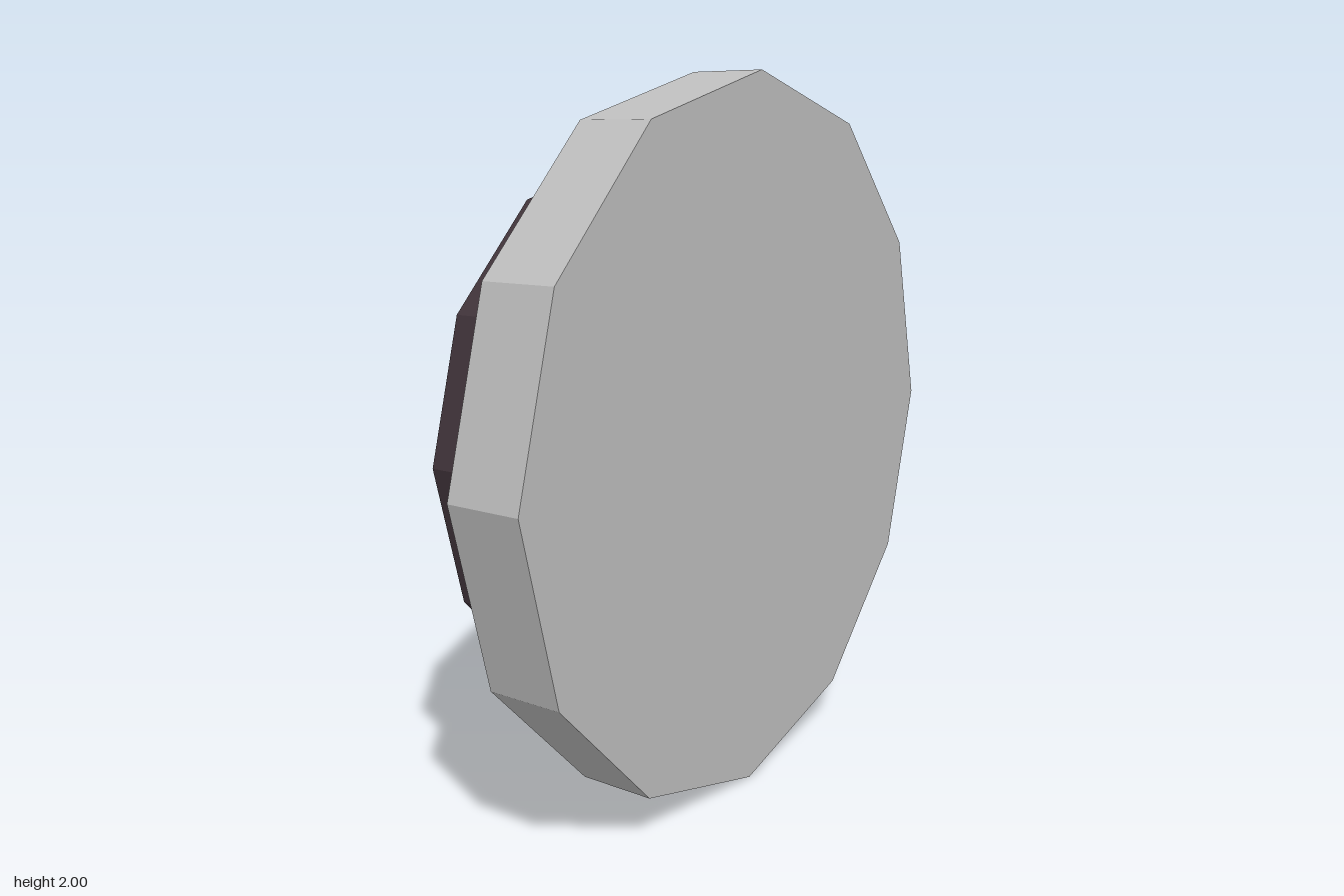
import * as THREE from 'three';

const CENTER_Y = 1;
const HUB = { half: 0.18, flat: 0.1, back: 0.075, front: 0.245 };
const RIM = { inner: 0.64, outer: 0.765, back: -0.07, front: 0.09 };

export function createModel() {
  const grey = new THREE.MeshStandardMaterial({ color: 0xbdbdbd });
  grey.name = 'pale grey';
  const dark = new THREE.MeshStandardMaterial({ color: 0x40333a });
  dark.name = 'dark plum';

  const model = new THREE.Group();
  model.name = 'handWheel';

  // Faceted mesh with one normal per face
  function add(name, geometry, material) {
    const flat = geometry.index ? geometry.toNonIndexed() : geometry;
    flat.computeVertexNormals();
    const mesh = new THREE.Mesh(flat, material);
    mesh.name = name;
    mesh.position.y = CENTER_Y;
    model.add(mesh);
    return mesh;
  }

  // Profile of [radius, z] pairs turned about the z axis
  function turned(profile, sides) {
    const points = profile.map(([r, z]) => new THREE.Vector2(r, z));
    return new THREE.LatheGeometry(points, sides).rotateX(Math.PI / 2);
  }

  // Large front disc with a shallow recess in its back
  add('frontDisc', turned([
    [0, 0.245], [0.86, 0.245], [0.86, 0.205], [1, 0.205], [1, 0.42], [0, 0.42],
  ], 12), grey);

  // Wheel rim
  add('wheelRim', turned([
    [RIM.inner, RIM.back], [RIM.outer, RIM.back], [RIM.outer, RIM.front],
    [RIM.inner, RIM.front], [RIM.inner, RIM.back],
  ], 12), dark);

  // Chamfered square hub with a square socket
  const { half: h, flat: f } = HUB;
  const hubShape = new THREE.Shape([
    [h, -f], [h, f], [f, h], [-f, h], [-h, f], [-h, -f], [-f, -h], [f, -h],
  ].map(([x, y]) => new THREE.Vector2(x, y)));
  const s = 0.065;
  hubShape.holes.push(new THREE.Path(
    [[-s, -s], [-s, s], [s, s], [s, -s]].map(([x, y]) => new THREE.Vector2(x, y))));
  const hub = new THREE.ExtrudeGeometry(hubShape, {
    depth: HUB.front - HUB.back, bevelEnabled: false,
  }).translate(0, 0, HUB.back);
  add('hub', hub, dark);

  // Four dished spokes that widen from a hub chamfer to a rim facet
  const start = (h + f) / Math.SQRT2;
  const end = RIM.inner * Math.cos(Math.PI / 12);
  const startWidth = (h - f) / Math.SQRT2;
  const endWidth = RIM.inner * Math.sin(Math.PI / 12);
  for (let i = 0; i < 4; i++) {
    const spoke = new THREE.BoxGeometry(1, 2, 1);
    const p = spoke.attributes.position;
    for (let v = 0; v < p.count; v++) {
      const outer = p.getX(v) > 0;
      const section = outer ? RIM : HUB;
      p.setXYZ(v,
        outer ? end : start,
        p.getY(v) * (outer ? endWidth : startWidth),
        p.getZ(v) > 0 ? section.front : section.back);
    }
    spoke.rotateZ(Math.PI / 4 + i * Math.PI / 2);
    add('spoke' + (i + 1), spoke, dark);
  }

  // Square crank handle with a domed tip
  const grip = add('handleShaft', turned([[0.084, -0.28], [0.084, -0.06]], 4), dark);
  const tip = add('handleTip', turned([
    [0, -0.42], [0.035, -0.418], [0.064, -0.408], [0.084, -0.37], [0.084, -0.28],
  ], 4), grey);
  for (const part of [grip, tip]) part.position.set(0.475, CENTER_Y - 0.475, 0);

  return model;
}
